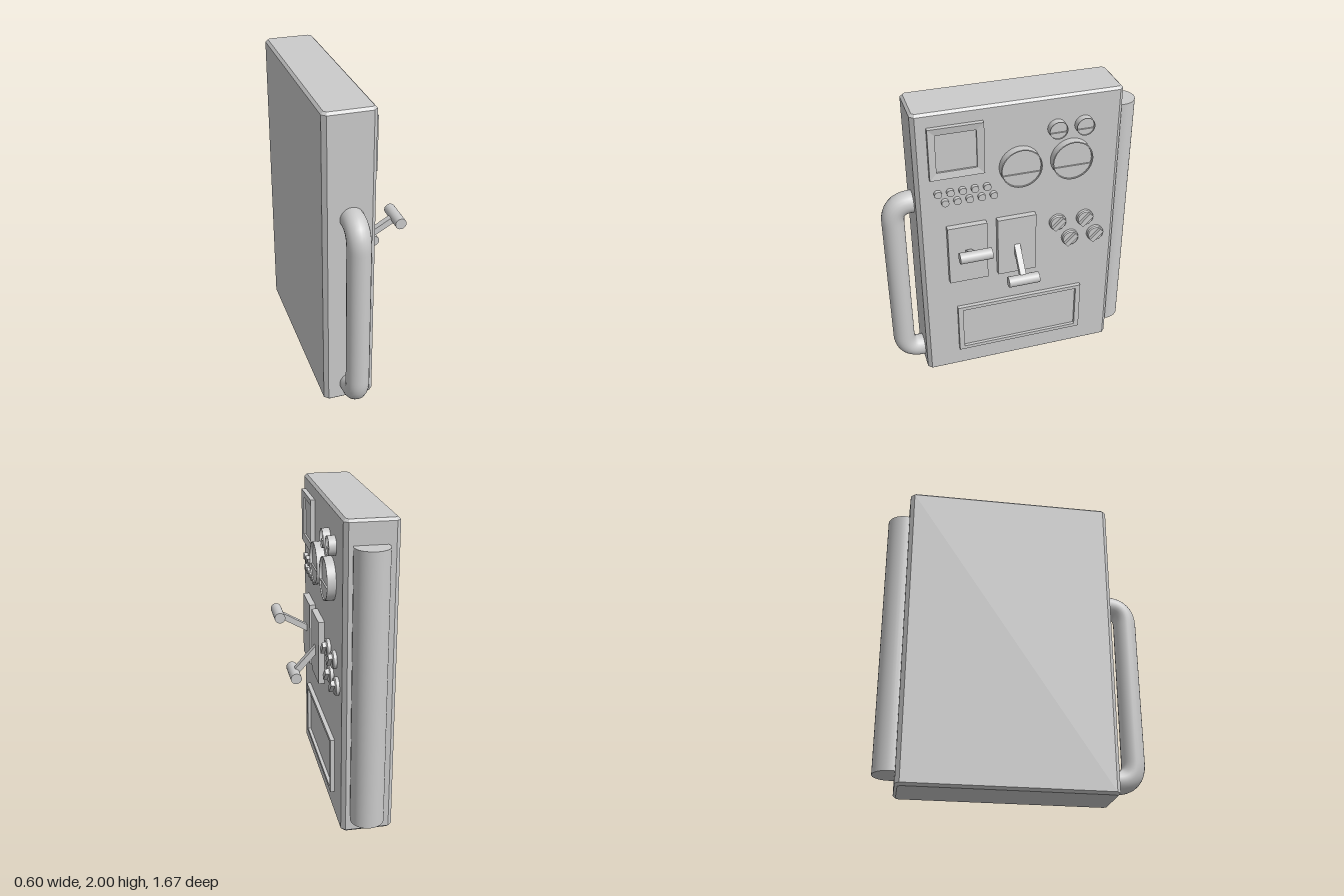
import * as THREE from 'three';
import { toCreasedNormals } from 'three/addons/utils/BufferGeometryUtils.js';

const material = new THREE.MeshStandardMaterial({ color: 0xcccccc });

function add(parent, name, geometry, x = 0, y = 0, z = 0) {
  const mesh = new THREE.Mesh(geometry, material);
  mesh.name = name;
  mesh.position.set(x, y, z);
  parent.add(mesh);
  return mesh;
}

// Rectangular rings [halfWidth, halfHeight, depth] joined in order, last one capped
function rectLoft(rings) {
  const corners = [[-1, -1], [1, -1], [1, 1], [-1, 1]];
  const pos = [];
  const put = ([w, h, d], i) => pos.push(corners[i % 4][0] * w, corners[i % 4][1] * h, d);
  for (let r = 0; r < rings.length - 1; r++) {
    const a = rings[r], b = rings[r + 1];
    for (let i = 0; i < 4; i++) {
      put(a, i); put(a, i + 1); put(b, i + 1);
      put(a, i); put(b, i + 1); put(b, i);
    }
  }
  const last = rings[rings.length - 1];
  [0, 1, 2, 0, 2, 3].forEach((i) => put(last, i));
  const g = new THREE.BufferGeometry();
  g.setAttribute('position', new THREE.Float32BufferAttribute(pos, 3));
  g.computeVertexNormals();
  return g;
}

// Round profile of [radius, depth] turned about the outward axis of the panel
function turned(profile, segments) {
  const g = new THREE.LatheGeometry(profile.map(([r, d]) => new THREE.Vector2(r, d)), segments);
  return toCreasedNormals(g.rotateX(Math.PI / 2), 0.5);
}

// Dial with a thin rim, sunken face and raised lower cover
function addGauge(parent, x, y, r, depth) {
  const gauge = new THREE.Group();
  gauge.name = 'gauge';
  gauge.position.set(x, y, 0);
  const inner = r * 0.95, face = depth - 0.018;
  add(gauge, 'gaugeCase', turned([[r, 0], [r, depth], [inner, depth], [inner, face], [0, face]], 32));
  const sector = new THREE.Shape();
  sector.moveTo(0, 0);
  sector.absarc(0, 0, inner, Math.PI * 1.1, Math.PI * 1.9, false);
  sector.closePath();
  add(gauge, 'gaugeCover', new THREE.ExtrudeGeometry(sector, { depth: 0.01, bevelEnabled: false, curveSegments: 16 }), 0, 0, face);
  parent.add(gauge);
}

// Round knob with a diagonal grip
function addKnob(parent, x, y) {
  const knob = new THREE.Group();
  knob.name = 'knob';
  knob.position.set(x, y, 0);
  add(knob, 'knobBase', turned([[0.057, 0], [0.057, 0.02], [0.05, 0.027], [0, 0.027]], 24));
  add(knob, 'knobGrip', new THREE.BoxGeometry(0.1, 0.034, 0.05), 0, 0, 0.026).rotation.z = Math.PI / 4;
  parent.add(knob);
}

// Backing plate with a hinged arm and a crosswise grip
function addLever(parent, x, tipY, tipZ) {
  const lever = new THREE.Group();
  lever.name = 'lever';
  lever.position.set(x, 0.985, 0);
  add(lever, 'leverPlate', new THREE.BoxGeometry(0.258, 0.428, 0.04), 0, 0, 0.02);
  const start = new THREE.Vector3(0, 0, 0.02), tip = new THREE.Vector3(0, tipY - 0.985, tipZ);
  const dir = tip.clone().sub(start);
  const mid = start.clone().add(tip).multiplyScalar(0.5);
  const arm = add(lever, 'leverArm', new THREE.BoxGeometry(0.04, 0.04, dir.length()), mid.x, mid.y, mid.z);
  arm.rotation.x = -Math.atan2(dir.y, dir.z);
  const grip = new THREE.CylinderGeometry(0.036, 0.036, 0.207, 24).rotateZ(Math.PI / 2);
  add(lever, 'leverGrip', grip, tip.x, tip.y, tip.z);
  parent.add(lever);
}

export function createModel() {
  const model = new THREE.Group();
  model.name = 'controlPanel';

  // Cabinet with chamfered edges
  const c = 0.016, w = 0.1625 - c, l = 0.665 - c;
  const outline = new THREE.Shape([
    [-w, -l + c], [-w + c, -l], [w - c, -l], [w, -l + c],
    [w, l - c], [w - c, l], [-w + c, l], [-w, l - c],
  ].map(([x, y]) => new THREE.Vector2(x, y)));
  const body = new THREE.ExtrudeGeometry(outline, {
    depth: 2 - 2 * c, bevelEnabled: true, bevelThickness: c, bevelSize: c, bevelSegments: 1,
  });
  body.rotateX(-Math.PI / 2);
  add(model, 'cabinet', body, -0.1375, c, -0.035);

  // Bent tube handle on the front edge
  const v = (y, z) => new THREE.Vector3(-0.127, y, z);
  const path = new THREE.CurvePath();
  path.add(new THREE.LineCurve3(v(1.33, 0.58), v(1.33, 0.64)));
  path.add(new THREE.QuadraticBezierCurve3(v(1.33, 0.64), v(1.33, 0.762), v(1.2, 0.762)));
  path.add(new THREE.LineCurve3(v(1.2, 0.762), v(0.25, 0.762)));
  path.add(new THREE.QuadraticBezierCurve3(v(0.25, 0.762), v(0.12, 0.762), v(0.12, 0.64)));
  path.add(new THREE.LineCurve3(v(0.12, 0.64), v(0.12, 0.58)));
  add(model, 'handle', new THREE.TubeGeometry(path, 64, 0.073, 24));

  // Hinge column on the rear edge
  add(model, 'hingeColumn', new THREE.CylinderGeometry(0.105, 0.105, 1.75, 32), -0.128, 0.977, -0.73);

  // Instrument face: local x runs towards the rear, local z points out of the cabinet
  const panel = new THREE.Group();
  panel.name = 'instruments';
  panel.position.x = 0.025;
  panel.rotation.y = Math.PI / 2;
  model.add(panel);

  // Screen with an inward sloping frame
  add(panel, 'screen', rectLoft([
    [0.172, 0.173, 0], [0.172, 0.173, 0.03], [0.127, 0.127, 0.022], [0.127, 0.127, 0.01],
  ]), -0.369, 1.737, 0);

  // Dials
  for (const x of [0.032, 0.365]) addGauge(panel, x, 1.565, 0.133, 0.054);
  for (const x of [0.268, 0.443]) addGauge(panel, x, 1.787, 0.059, 0.046);

  // Two staggered rows of indicator lights
  for (let row = 0; row < 2; row++) {
    for (let i = 0; i < 5; i++) {
      const light = turned([[0.024, 0], [0.024, 0.026], [0, 0.026]], 16);
      add(panel, 'indicatorLight', light, -0.494 + 0.042 * row + 0.078 * i, 1.453 - 0.068 * row, 0);
    }
  }

  // Levers, one raised and one lowered
  addLever(panel, -0.323, 1.11, 0.237);
  addLever(panel, 0.005, 0.806, 0.182);

  // Knobs
  for (const [x, y] of [[0.292, 1.09], [0.481, 1.09], [0.382, 0.95], [0.56, 0.95]]) addKnob(panel, x, y);

  // Recessed lower plate
  add(panel, 'lowerPlate', rectLoft([
    [0.438, 0.187, 0], [0.438, 0.187, 0.027], [0.428, 0.177, 0.027], [0.404, 0.177, 0.027],
    [0.404, 0.161, 0.027], [0.404, 0.161, 0.006],
  ]), 0.033, 0.344, 0);

  return model;
}
